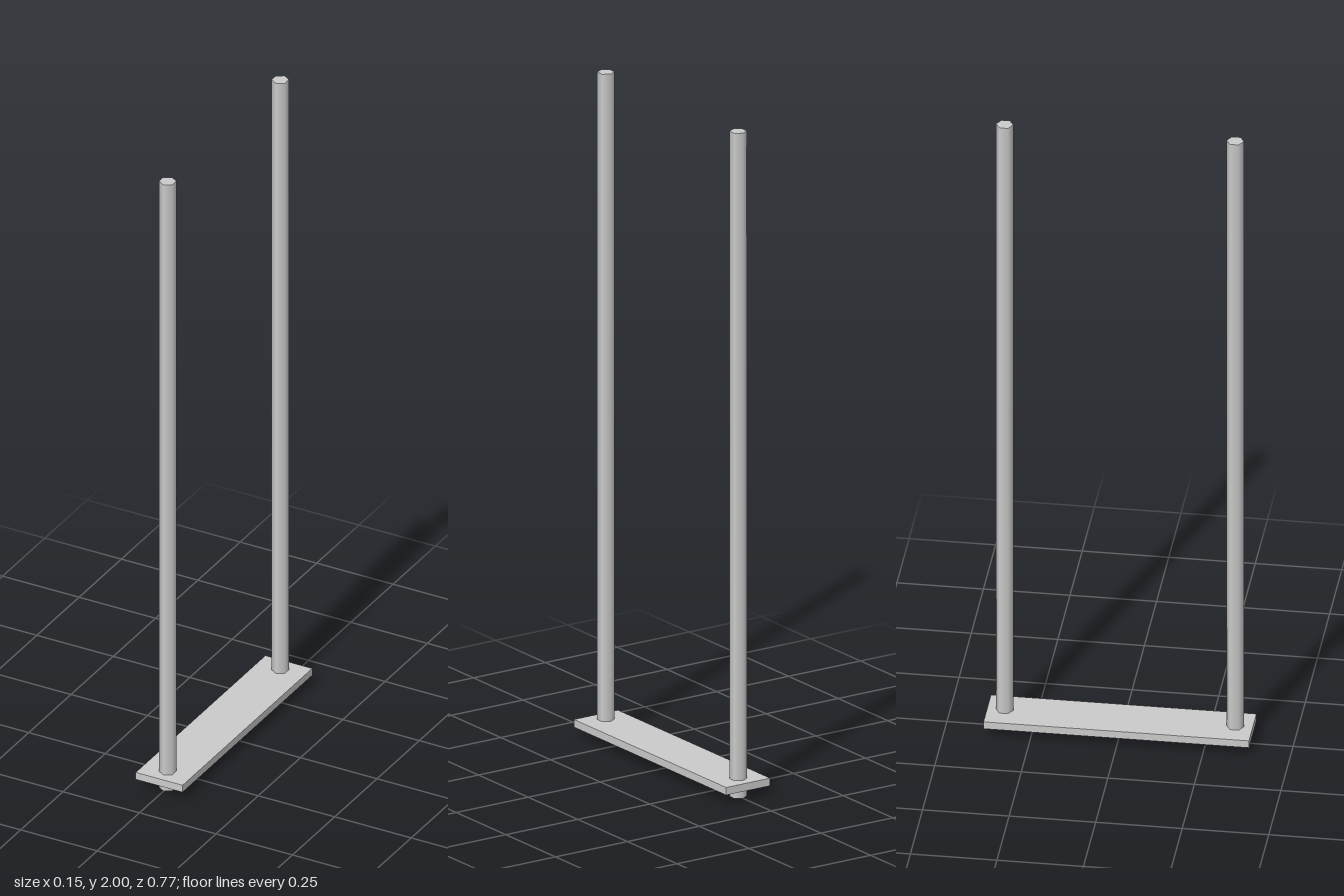
import * as THREE from 'three';

export function createModel() {
  const group = new THREE.Group();
  const material = new THREE.MeshStandardMaterial({ color: 0xcccccc });

  // Flat seat board, running front to back
  const seat = new THREE.Mesh(new THREE.BoxGeometry(0.153, 0.023, 0.767), material);
  seat.name = 'seat';
  seat.position.y = 0.042;
  group.add(seat);

  // Six-sided smooth ropes passing through the board near each end
  const ropeGeometry = new THREE.CylinderGeometry(0.025, 0.025, 2, 6);
  for (const [name, side] of [['frontRope', 1], ['backRope', -1]]) {
    const rope = new THREE.Mesh(ropeGeometry, material);
    rope.name = name;
    rope.position.set(0, 1, side * 0.333);
    group.add(rope);
  }

  return group;
}
